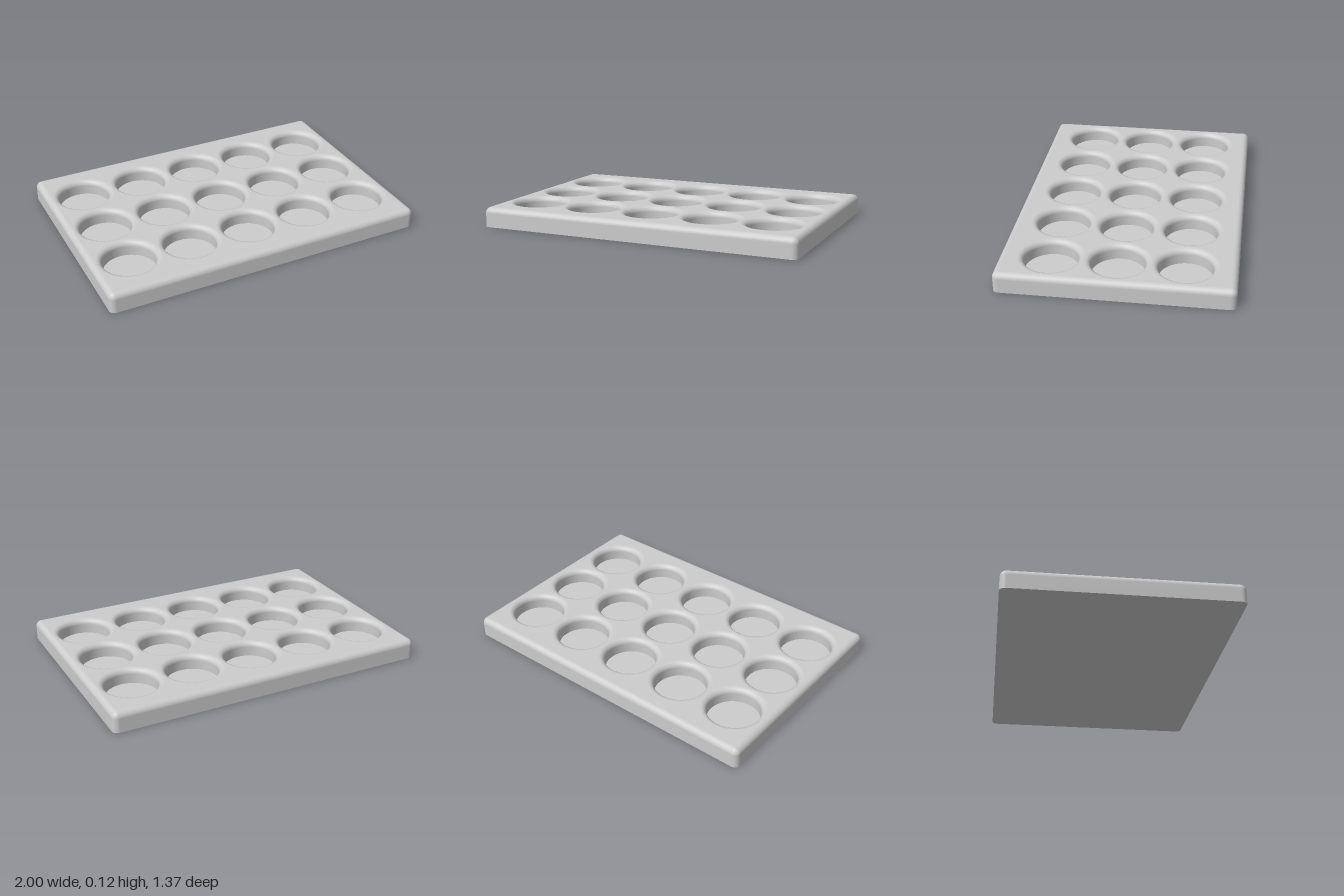
import * as THREE from 'three';

const W = 2, D = 1.365, H = 0.122;      // slab size
const EDGE = 0.036;                     // rounding of the outer edges and corners
const R = 0.157, LIP = 0.034;           // well radius and its rounded lip
const FLOOR = 0.03, PITCH = 0.385;      // well floor height and spacing
const SEG = 64;

// Corner arcs of a rounded rectangle: centre of the arc and angle of each point
function outline(steps) {
  const points = [];
  const cx = W / 2 - EDGE, cz = D / 2 - EDGE;
  [[1, 1], [-1, 1], [-1, -1], [1, -1]].forEach(([sx, sz], q) => {
    for (let i = 0; i <= steps; i++) {
      points.push({ x: sx * cx, z: sz * cz, a: (q + i / steps) * Math.PI / 2 });
    }
  });
  return points;
}

// Upright sides that roll over into the top face
function rimGeometry(ring) {
  const steps = 8, pos = [], nor = [], idx = [], n = ring.length;
  for (let j = -1; j <= steps; j++) {
    const b = Math.max(j, 0) / steps * Math.PI / 2;
    const y = j < 0 ? 0 : H - EDGE + EDGE * Math.sin(b);
    for (const p of ring) {
      const nx = Math.cos(p.a) * Math.cos(b), nz = Math.sin(p.a) * Math.cos(b);
      pos.push(p.x + EDGE * nx, y, p.z + EDGE * nz);
      nor.push(nx, Math.sin(b), nz);
    }
  }
  for (let j = 0; j <= steps; j++) {
    for (let i = 0; i < n; i++) {
      const k = (i + 1) % n, a = j * n + i, b = j * n + k;
      idx.push(a, a + n, b, b, a + n, b + n);
    }
  }
  const g = new THREE.BufferGeometry();
  g.setAttribute('position', new THREE.Float32BufferAttribute(pos, 3));
  g.setAttribute('normal', new THREE.Float32BufferAttribute(nor, 3));
  g.setIndex(idx);
  return g;
}

export function createModel() {
  const group = new THREE.Group();
  group.name = 'tray';
  const grey = new THREE.MeshStandardMaterial({ color: 0xcccccc });
  grey.name = 'light grey';

  const add = (name, geometry, parent = group) => {
    const mesh = new THREE.Mesh(geometry, grey);
    mesh.name = name;
    parent.add(mesh);
  };

  // Centres of the five by three wells
  const centres = [];
  for (let row = -1; row <= 1; row++) {
    for (let col = -2; col <= 2; col++) centres.push([col * PITCH, row * PITCH]);
  }

  // Outer sides
  const ring = outline(8);
  add('sides', rimGeometry(ring));

  // Top face with round openings
  const tx = W / 2 - EDGE, tz = D / 2 - EDGE;
  const top = new THREE.Shape([[-tx, -tz], [tx, -tz], [tx, tz], [-tx, tz]]
    .map(([x, y]) => new THREE.Vector2(x, y)));
  for (const [x, z] of centres) {
    const circle = [];
    for (let i = 0; i < SEG; i++) {
      const a = i / SEG * Math.PI * 2;
      circle.push(new THREE.Vector2(x + (R + LIP) * Math.cos(a), z + (R + LIP) * Math.sin(a)));
    }
    top.holes.push(new THREE.Path(circle));
  }
  add('topFace', new THREE.ShapeGeometry(top).rotateX(-Math.PI / 2).translate(0, H, 0));

  // Flat underside
  const base = new THREE.Shape(ring.map(p => new THREE.Vector2(
    p.x + EDGE * Math.cos(p.a), p.z + EDGE * Math.sin(p.a))));
  add('underside', new THREE.ShapeGeometry(base).rotateX(Math.PI / 2));

  // Well wall: rounded lip running down to the floor
  const profile = [];
  for (let i = 0; i <= 8; i++) {
    const a = i / 8 * Math.PI / 2;
    profile.push(new THREE.Vector2(R + LIP - LIP * Math.sin(a), H - LIP + LIP * Math.cos(a)));
  }
  profile.push(new THREE.Vector2(R, FLOOR));
  const wall = new THREE.LatheGeometry(profile, SEG);
  const floor = new THREE.CircleGeometry(R, SEG).rotateX(-Math.PI / 2).translate(0, FLOOR, 0);

  centres.forEach(([x, z], i) => {
    const well = new THREE.Group();
    well.name = `well${i + 1}`;
    well.position.set(x, 0, z);
    add('wellWall', wall, well);
    add('wellFloor', floor, well);
    group.add(well);
  });

  return group;
}
